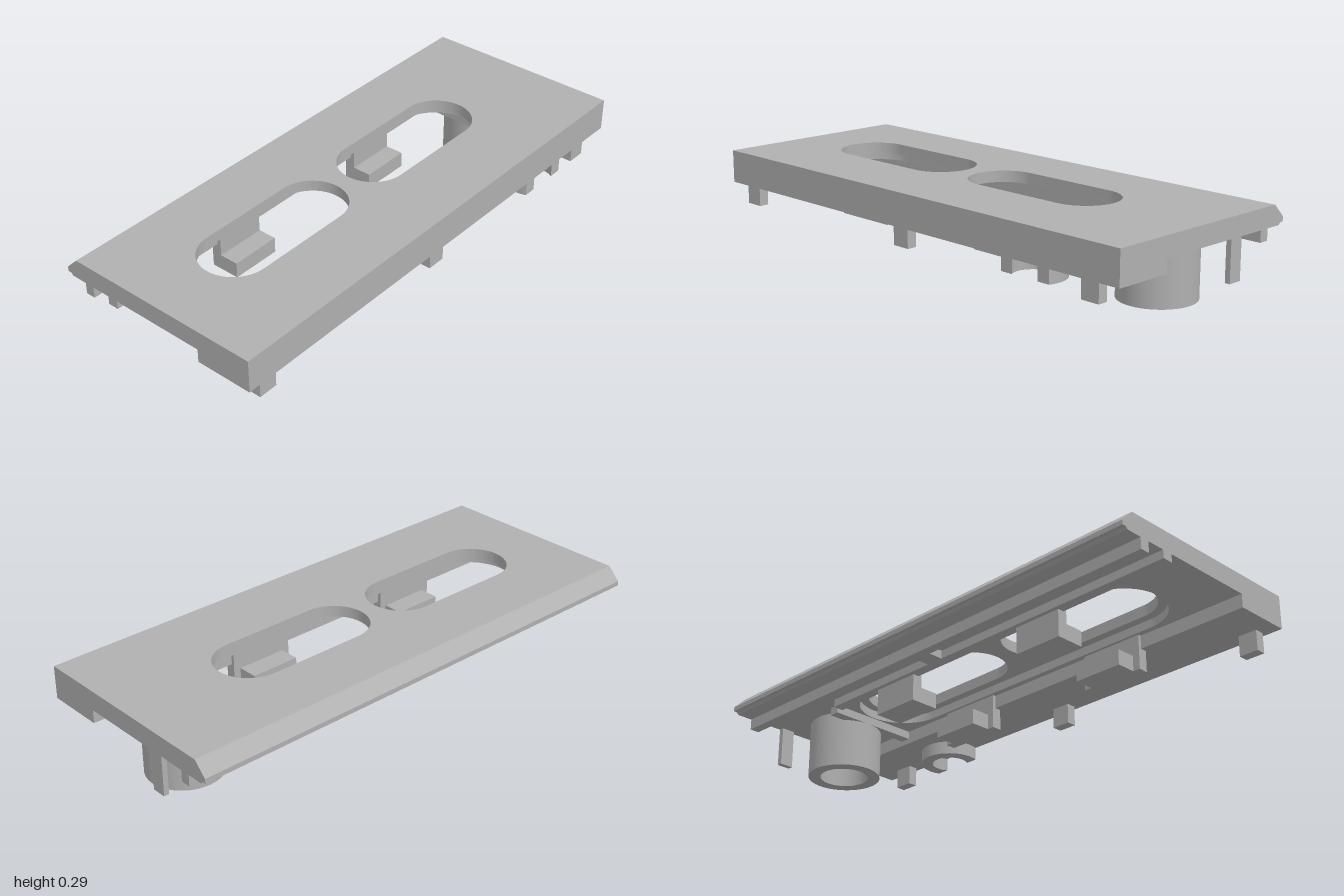
import * as THREE from 'three';
import { toCreasedNormals } from 'three/addons/utils/BufferGeometryUtils.js';

export function createModel() {
  const root = new THREE.Group();
  root.name = 'slottedCoverPlate';
  const grey = new THREE.MeshStandardMaterial({ color: 0xb0b0b0 });
  grey.name = 'grey plastic';

  const add = (name, geometry) => {
    const mesh = new THREE.Mesh(geometry, grey);
    mesh.name = name;
    root.add(mesh);
    return mesh;
  };
  // Box given by its limits on each axis
  const box = (name, x0, x1, y0, y1, z0, z1) => {
    const g = new THREE.BoxGeometry(x1 - x0, y1 - y0, z1 - z0);
    g.translate((x0 + x1) / 2, (y0 + y1) / 2, (z0 + z1) / 2);
    return add(name, g);
  };
  // Horizontal slab from a plan shape (x, z), running down from top to bottom
  const slab = (name, shape, bottom, top) => {
    const g = new THREE.ExtrudeGeometry(shape, { depth: top - bottom, bevelEnabled: false, curveSegments: 24 });
    g.rotateX(Math.PI / 2);
    g.translate(0, top, 0);
    return add(name, toCreasedNormals(g, 0.5));
  };
  const polygon = (points) => new THREE.Shape(points.map(([x, y]) => new THREE.Vector2(x, y)));
  const stadium = (cx, r, z0, z1) => {
    const p = new THREE.Path();
    p.absarc(cx, z1 - r, r, 0, Math.PI, false);
    p.absarc(cx, z0 + r, r, Math.PI, 2 * Math.PI, false);
    p.closePath();
    return p;
  };
  const plan = (x0, x1) => polygon([[x0, -1], [x1, -1], [x1, 1], [x0, 1]]);

  // Top plate with two long slots
  const top = plan(-0.37, 0.415);
  top.holes.push(stadium(0.003, 0.132, -0.61, 0.04), stadium(0.003, 0.132, 0.11, 0.76));
  slab('topPlate', top, 0.25, 0.293);

  // Lower layer with one wide pocket around both slots
  const lower = plan(-0.37, 0.415);
  lower.holes.push(stadium(0.003, 0.165, -0.645, 0.795));
  slab('lowerPlate', lower, 0.218, 0.25);

  // Chamfered long edge
  const edge = new THREE.ExtrudeGeometry(
    polygon([[-0.37, 0.218], [-0.37, 0.293], [-0.418, 0.245], [-0.418, 0.227], [-0.405, 0.227], [-0.395, 0.218]].reverse()),
    { depth: 2, bevelEnabled: false });
  edge.translate(0, 0, -1);
  add('chamferedEdge', edge);

  // Thick side and long ribs underneath
  box('thickSide', 0.192, 0.415, 0.167, 0.218, -1, 1);
  box('outerRib', -0.333, -0.295, 0.175, 0.218, -1, 1);
  box('innerRib', -0.222, -0.18, 0.187, 0.218, -0.62, 1);
  box('crossRib', -0.18, 0.192, 0.187, 0.218, -0.69, -0.65);
  box('ribBridge', -0.295, -0.222, 0.187, 0.218, -0.09, -0.02);
  box('rearTab', -0.19, -0.135, 0.065, 0.218, -1, -0.98);

  // Hollow round boss
  const boss = new THREE.Shape();
  boss.absarc(-0.02, -0.79, 0.14, 0, Math.PI * 2, false);
  const bore = new THREE.Path();
  bore.absarc(-0.02, -0.79, 0.093, 0, Math.PI * 2, true);
  boss.holes.push(bore);
  slab('boss', boss, 0, 0.218);

  // Ring cut open at the plate's edge
  const ring = new THREE.Shape();
  const a = Math.acos(0.04 / 0.115), b = Math.acos(0.04 / 0.07);
  ring.absarc(0.375, -0.6, 0.115, a, 2 * Math.PI - a, false);
  ring.absarc(0.375, -0.6, 0.07, 2 * Math.PI - b, b, true);
  ring.closePath();
  slab('openRing', ring, 0.116, 0.167);

  // Small square pegs along the thick side
  for (const z of [0.897, 0.027, -0.863]) box('peg', 0.357, 0.395, 0.09, 0.167, z - 0.037, z + 0.037);

  // L-shaped clips on both sides of each slot
  for (const z of [0.435, -0.285]) {
    box('leftClipWall', 0.18, 0.218, 0.085, 0.218, z - 0.127, z + 0.127);
    box('leftClipLedge', 0.102, 0.18, 0.085, 0.145, z - 0.098, z + 0.098);
    box('rightClipWall', -0.205, -0.165, 0.085, 0.218, z - 0.098, z + 0.098);
    box('rightClipLedge', -0.165, -0.091, 0.085, 0.145, z - 0.098, z + 0.098);
  }
  return root;
}
